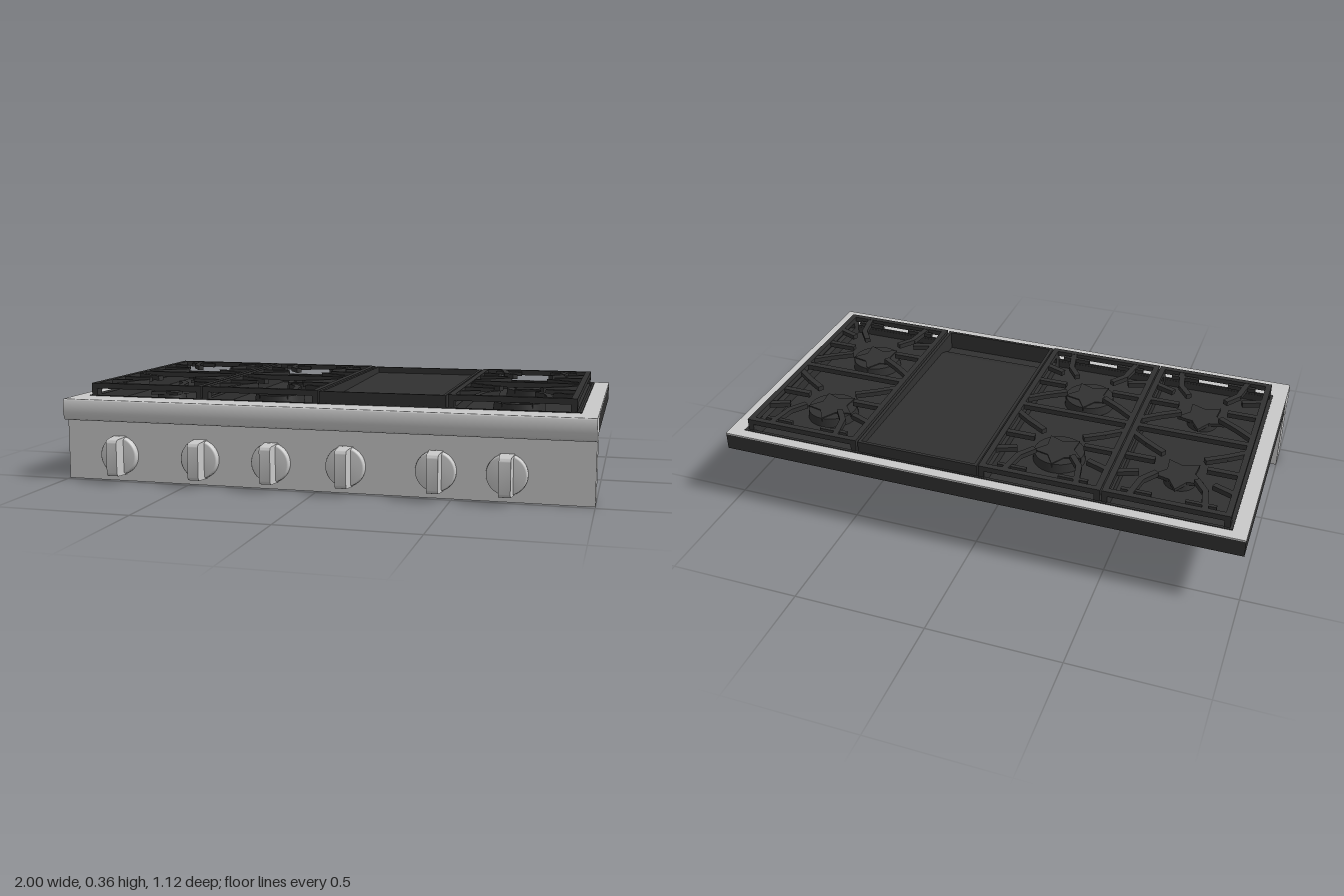
import * as THREE from 'three';
import { toCreasedNormals } from 'three/addons/utils/BufferGeometryUtils.js';

const steel = new THREE.MeshStandardMaterial({ color: 0xcacaca });
steel.name = 'brushed steel';
const iron = new THREE.MeshStandardMaterial({ color: 0x313131 });
iron.name = 'black cast iron';

const Z_BACK = -0.512, Z_FRONT = 0.402;

function add(parent, name, geometry, material) {
  const mesh = new THREE.Mesh(geometry, material);
  mesh.name = name;
  parent.add(mesh);
  return mesh;
}

// Box given by its minimum and maximum corners
function box(parent, name, material, x0, x1, y0, y1, z0, z1) {
  const mesh = add(parent, name, new THREE.BoxGeometry(x1 - x0, y1 - y0, z1 - z0), material);
  mesh.position.set((x0 + x1) / 2, (y0 + y1) / 2, (z0 + z1) / 2);
  return mesh;
}

function rectangle(target, x0, x1, z0, z1) {
  target.moveTo(x0, z0);
  target.lineTo(x1, z0);
  target.lineTo(x1, z1);
  target.lineTo(x0, z1);
  target.closePath();
  return target;
}

// Horizontal plate from an outline in x and z
function plate(shape, y0, y1) {
  const g = new THREE.ExtrudeGeometry(shape, { depth: y1 - y0, bevelEnabled: false });
  return g.rotateX(Math.PI / 2).translate(0, y1, 0);
}

// Solid from a side outline in z and y, running from x0 to x1
function sideExtrude(shape, x0, x1) {
  const g = new THREE.ExtrudeGeometry(shape, { depth: x1 - x0, bevelEnabled: false, curveSegments: 6 });
  return g.rotateY(-Math.PI / 2).translate(x1, 0, 0);
}

// Rectangular ring
function ring(parent, name, material, outer, inner, y0, y1) {
  const shape = rectangle(new THREE.Shape(), ...outer);
  shape.holes.push(rectangle(new THREE.Path(), ...inner));
  return add(parent, name, plate(shape, y0, y1), material);
}

// Control knob with a round skirt and a tapered, rounded grip bar
function makeKnob(x) {
  const knob = new THREE.Group();
  knob.name = 'knob';
  const profile = [[0.074, 0], [0.074, 0.01], [0.072, 0.02], [0.067, 0.026], [0, 0.028]]
    .map(([r, h]) => new THREE.Vector2(r, h));
  add(knob, 'knobSkirt', new THREE.LatheGeometry(profile, 40).rotateX(Math.PI / 2), steel);

  const side = new THREE.Shape();
  side.moveTo(0, -0.073);
  side.lineTo(0.066, -0.07);
  side.quadraticCurveTo(0.079, -0.068, 0.079, -0.05);
  side.lineTo(0.079, 0.05);
  side.quadraticCurveTo(0.079, 0.068, 0.066, 0.07);
  side.lineTo(0, 0.073);
  const grip = sideExtrude(side, -0.026, 0.026);
  const p = grip.attributes.position;
  for (let i = 0; i < p.count; i++) p.setX(i, p.getX(i) * (1 - 2.5 * p.getZ(i)));
  add(knob, 'knobGrip', toCreasedNormals(grip, 0.6), steel);
  knob.position.set(x, 0.1, 0.48);
  return knob;
}

// Gas burner with a star-shaped cap, on a wide or narrow round base
function makeBurner(x, z, round) {
  const burner = new THREE.Group();
  burner.name = 'burner';
  const star = new THREE.Shape();
  for (let i = 0; i < 10; i++) {
    const a = (i / 10) * Math.PI * 2 - Math.PI / 2;
    const r = i % 2 ? 0.055 : 0.098;
    star[i ? 'lineTo' : 'moveTo'](r * Math.cos(a), r * Math.sin(a));
  }
  star.closePath();
  const radius = round ? 0.095 : 0.055;
  const height = round ? 0.036 : 0.026;
  const base = new THREE.CylinderGeometry(radius, radius + 0.004, height, 32);
  add(burner, 'burnerBase', base.translate(0, 0.28 + height / 2, 0), iron);
  add(burner, 'burnerCap', plate(star, 0.302, round ? 0.32 : 0.315), iron);
  burner.position.set(x, 0, z);
  return burner;
}

// Grate with open sides, corner legs and bent fingers around each burner
function makeGrate(x, round) {
  const grate = new THREE.Group();
  grate.name = 'grate';
  const h = 0.228, bar = 0.022, top = 0.364, low = 0.343;
  ring(grate, 'grateFrame', iron, [-h, h, Z_BACK, Z_FRONT],
    [-h + bar, h - bar, Z_BACK + bar, Z_FRONT - bar], low, top);
  for (const s of [-1, 1]) {
    const a = s * (h - bar / 2);
    box(grate, 'grateLeg', iron, a - bar / 2, a + bar / 2, 0.28, low, Z_BACK, Z_BACK + 0.04);
    box(grate, 'grateLeg', iron, a - bar / 2, a + bar / 2, 0.28, low, Z_FRONT - 0.04, Z_FRONT);
    box(grate, 'grateSideRail', iron, a - bar / 2, a + bar / 2, 0.28, 0.317, Z_BACK, Z_FRONT);
  }
  const mid = (Z_BACK + Z_FRONT) / 2;
  box(grate, 'grateCrossBar', iron, -h, h, low, top, mid - 0.012, mid + 0.012);

  // Finger paths: offsets from the burner centre, sideways and away from the cross bar
  const fingers = [
    [[0.135, 0.24], [0.115, 0.13], [0.075, 0.075]],
    [[0.215, 0.115], [0.14, 0.085]],
    [[0.215, -0.005], [0.1, -0.005]],
    [[0.215, -0.155], [0.15, -0.105], [0.08, -0.06]],
  ];
  for (const s of [-1, 1]) {
    const cz = mid + s * 0.205;
    for (const side of [-1, 1]) {
      for (const path of fingers) {
        for (let i = 1; i < path.length; i++) {
          const [ax, az] = path[i - 1], [bx, bz] = path[i];
          const length = Math.hypot(bx - ax, bz - az) + 0.008;
          const finger = add(grate, 'grateFinger', new THREE.BoxGeometry(length, 0.019, 0.022), iron);
          finger.position.set(side * (ax + bx) / 2, 0.353, cz + s * (az + bz) / 2);
          finger.rotation.y = -Math.atan2(s * (bz - az), side * (bx - ax));
        }
      }
      // Short bar along the outer end of each bay
      const ex = side * 0.115, ez = mid + s * 0.41;
      box(grate, 'grateEndBar', iron, ex - 0.055, ex + 0.055, low, 0.36, ez - 0.007, ez + 0.007);
    }
    grate.add(makeBurner(0, s < 0 ? -0.255 : 0.155, round));
  }
  grate.position.x = x;
  return grate;
}

// Griddle with raised walls, a plate sloping forward and a grease trough
function makeGriddle(x0, x1) {
  const griddle = new THREE.Group();
  griddle.name = 'griddle';
  ring(griddle, 'griddleWall', iron, [x0, x1, Z_BACK, Z_FRONT],
    [x0 + 0.012, x1 - 0.012, Z_BACK + 0.012, Z_FRONT - 0.012], 0.275, 0.361);
  const profile = new THREE.Shape();
  [[-0.46, 0.25], [-0.505, 0.28], [-0.505, 0.336], [0.28, 0.318], [0.33, 0.3], [0.345, 0.288], [0.395, 0.288], [0.395, 0.25]]
    .forEach(([z, y], i) => profile[i ? 'lineTo' : 'moveTo'](z, y));
  profile.closePath();
  add(griddle, 'griddlePlate', sideExtrude(profile, x0 + 0.006, x1 - 0.006), iron);
  return griddle;
}

export function createModel() {
  const model = new THREE.Group();
  model.name = 'rangetop';

  // Steel control panel and rounded front rail
  box(model, 'controlPanel', steel, -1, 1, 0, 0.234, 0.381, 0.48);
  const rail = new THREE.Shape();
  rail.moveTo(0.405, 0.24);
  rail.lineTo(0.405, 0.314);
  rail.lineTo(0.508, 0.314);
  rail.quadraticCurveTo(0.513, 0.314, 0.515, 0.305);
  rail.quadraticCurveTo(0.523, 0.275, 0.513, 0.241);
  rail.quadraticCurveTo(0.51, 0.231, 0.5, 0.231);
  rail.lineTo(0.42, 0.231);
  add(model, 'frontRail', toCreasedNormals(sideExtrude(rail, -1, 1), 0.5), steel);

  for (const x of [-0.783, -0.455, -0.175, 0.11, 0.442, 0.695]) model.add(makeKnob(x));

  // Steel rim over a dark skirt that is open at the front
  ring(model, 'topRim', steel, [-1, 1, -0.56, 0.405], [-0.945, 0.94, -0.518, Z_FRONT], 0.308, 0.314);
  for (const s of [-1, 1]) box(model, 'sideSkirt', iron, s * 0.99 - 0.01, s * 0.99 + 0.01, 0.244, 0.308, -0.558, 0.405);
  box(model, 'backSkirt', iron, -0.98, 0.98, 0.244, 0.308, -0.558, -0.54);

  // Ledge under the rim, and the burner pan with a bevelled underside
  ring(model, 'underLedge', iron, [-0.98, 0.98, -0.54, 0.404], [-0.94, 0.935, -0.51, 0.395], 0.3, 0.308);
  const pan = box(model, 'burnerPan', iron, -0.946, 0.941, 0.258, 0.28, -0.519, 0.403);
  const p = pan.geometry.attributes.position;
  for (let i = 0; i < p.count; i++) {
    if (p.getY(i) < 0) p.setXYZ(i, p.getX(i) * 0.955, p.getY(i), p.getZ(i) * 0.9);
  }
  pan.geometry.computeVertexNormals();
  ring(model, 'panLip', iron, [-0.946, 0.941, -0.519, 0.403], [-0.935, 0.932, -0.508, 0.396], 0.28, 0.317);

  model.add(makeGrate(-0.708, false), makeGrate(-0.247, true), makeGrate(0.697, true));
  model.add(makeGriddle(-0.013, 0.461));
  return model;
}
